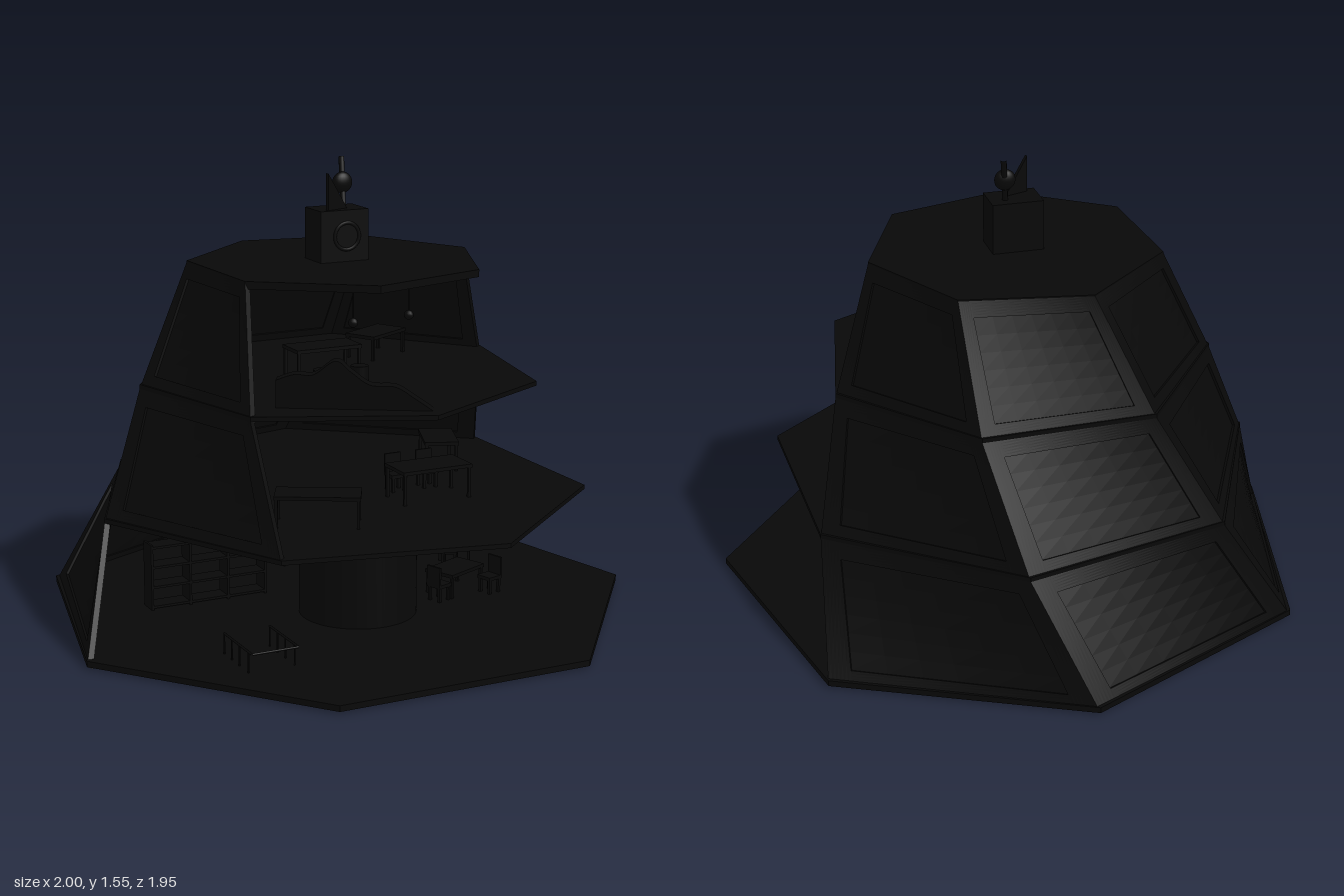
import * as THREE from 'three';

const SIDES = 7;
const SECTOR = (Math.PI * 2) / SIDES;
const TURN = THREE.MathUtils.degToRad(12);
const CENTER_Z = 0.05;
const STEP = 0.4;
const mat = new THREE.MeshStandardMaterial({ color: 0x080808, flatShading: true });
const smooth = new THREE.MeshStandardMaterial({ color: 0x080808 });

// Corner k of the heptagon at a level; each level shrinks and turns 12 degrees
function corner(k, level) {
  const r = 1.026 - 0.1745 * level;
  const a = SECTOR * (k + 0.5) - TURN * level;
  return new THREE.Vector3(r * Math.sin(a), level * STEP, CENTER_Z + r * Math.cos(a));
}

function add(parent, name, geometry, x = 0, y = 0, z = 0, material = mat) {
  const mesh = new THREE.Mesh(geometry, material);
  mesh.name = name;
  mesh.position.set(x, y, z);
  parent.add(mesh);
  return mesh;
}

const box = (parent, name, w, h, d, x, y, z) =>
  add(parent, name, new THREE.BoxGeometry(w, h, d), x, y, z);

// Thin rod between two points
function rod(parent, name, a, b, r) {
  const from = new THREE.Vector3(...a), to = new THREE.Vector3(...b);
  return add(parent, name, new THREE.TubeGeometry(new THREE.LineCurve3(from, to), 1, r, 8), 0, 0, 0, smooth);
}

// Heptagonal slab with its underside at y
function slab(parent, name, level, y, thickness) {
  const pts = [];
  for (let k = 0; k < SIDES; k++) {
    const p = corner(k, level);
    pts.push(new THREE.Vector2(p.x, -p.z));
  }
  const geo = new THREE.ExtrudeGeometry(new THREE.Shape(pts), { depth: thickness, bevelEnabled: false });
  geo.rotateX(-Math.PI / 2);
  add(parent, name, geo, 0, y, 0);
}

// Twisted wall panel between two levels: four frame bars around a recessed pane
function wallPanel(k, level) {
  const panel = new THREE.Group();
  panel.name = 'wallPanel';
  const [a, b] = [corner(k, level), corner(k + 1, level)];
  const [d, c] = [corner(k, level + 1), corner(k + 1, level + 1)];
  const normal = c.clone().sub(a).cross(d.clone().sub(b)).normalize();
  // name, u range, v range, depth range along the outward normal
  const parts = [
    ['frameBar', 0, 0.09, 0, 1, -0.02, 0], ['frameBar', 0.91, 1, 0, 1, -0.02, 0],
    ['frameBar', 0.09, 0.91, 0, 0.12, -0.02, 0], ['frameBar', 0.09, 0.91, 0.88, 1, -0.02, 0],
    ['pane', 0.09, 0.91, 0.12, 0.88, -0.015, -0.009],
  ];
  for (const [name, u0, u1, v0, v1, w0, w1] of parts) {
    const geo = new THREE.BoxGeometry(1, 1, 1, 6, 6, 1);
    const pos = geo.attributes.position;
    for (let i = 0; i < pos.count; i++) {
      const u = THREE.MathUtils.lerp(u0, u1, pos.getX(i) + 0.5);
      const v = THREE.MathUtils.lerp(v0, v1, pos.getY(i) + 0.5);
      const w = THREE.MathUtils.lerp(w0, w1, pos.getZ(i) + 0.5);
      const p = a.clone().lerp(b, u).lerp(d.clone().lerp(c, u), v).addScaledVector(normal, w);
      pos.setXYZ(i, p.x, p.y, p.z);
    }
    geo.computeVertexNormals();
    add(panel, name, geo);
  }
  return panel;
}

function table(parent, x, y, z, w, d, h, turn = 0) {
  const g = new THREE.Group();
  g.name = 'table';
  box(g, 'tableTop', w, 0.012, d, 0, h, 0);
  for (const sx of [-1, 1])
    for (const sz of [-1, 1])
      box(g, 'tableLeg', 0.01, h, 0.01, sx * (w / 2 - 0.008), h / 2, sz * (d / 2 - 0.008));
  g.position.set(x, y, z);
  g.rotation.y = turn;
  parent.add(g);
  return g;
}

function chair(parent, x, y, z, turn) {
  const g = table(parent, x, y, z, 0.06, 0.06, 0.055, turn);
  g.name = 'chair';
  box(g, 'chairBack', 0.06, 0.07, 0.008, 0, 0.09, -0.027);
}

function shelf(parent, x, y, z, w, h, turn = 0) {
  const g = new THREE.Group();
  g.name = 'shelf';
  for (let i = 0; i < 4; i++) box(g, 'shelfBoard', w, 0.008, 0.07, 0, 0.01 + (i * (h - 0.02)) / 3, 0);
  for (let i = 0; i < 4; i++) box(g, 'shelfUpright', 0.008, h, 0.07, (i / 3 - 0.5) * w, h / 2, 0);
  g.position.set(x, y, z);
  g.rotation.y = turn;
  parent.add(g);
}

export function createModel() {
  const model = new THREE.Group();
  model.name = 'terracedHouse';

  // Floors and roof
  slab(model, 'groundFloor', 0, 0, 0.02);
  slab(model, 'firstFloor', 1, 0.4, 0.015);
  slab(model, 'secondFloor', 2, 0.8, 0.015);
  slab(model, 'roof', 3, 1.18, 0.025);

  // Walls wrap the back and leave the front open
  [[2, 4], [2, 5], [2, 5]].forEach(([first, last], level) => {
    for (let k = first; k <= last; k++) model.add(wallPanel(k, level));
  });

  // Rounded core on the ground floor, flat at the back
  const core = new THREE.Shape().absarc(0, 0, 0.2, Math.PI - 0.38, Math.PI * 2 + 0.38, false);
  const coreGeo = new THREE.ExtrudeGeometry(core, { depth: 0.39, bevelEnabled: false, curveSegments: 32 });
  coreGeo.rotateX(-Math.PI / 2);
  add(model, 'core', coreGeo, 0, 0.015, 0.21, smooth);

  // Chimney with a dial on its front
  const top = new THREE.Group();
  top.name = 'chimney';
  model.add(top);
  box(top, 'chimneyBlock', 0.175, 0.175, 0.125, 0.002, 1.29, 0.042);
  add(top, 'dial', new THREE.TorusGeometry(0.045, 0.006, 8, 28), 0.01, 1.29, 0.105, smooth);

  // Spike, ball and rod on the chimney
  const spike = new THREE.Shape([[-0.06, 0], [0.03, 0], [-0.06, 0.125]].map(p => new THREE.Vector2(...p)));
  const spikeMesh = add(top, 'spike', new THREE.ExtrudeGeometry(spike, { depth: 0.012, bevelEnabled: false }), 0, 1.376, 0.06);
  spikeMesh.rotation.y = 0.35;
  const ball = add(top, 'ball', new THREE.SphereGeometry(0.036, 20, 14), 0.042, 1.455, 0.003, smooth);
  ball.scale.z = 0.6;
  rod(top, 'rod', [0.035, 1.37, 0.025], [0.055, 1.537, -0.03], 0.01);

  // Wavy hedge along the edge of the second floor
  const hedge = new THREE.Shape();
  hedge.moveTo(0, 0);
  hedge.lineTo(0, 0.09);
  hedge.splineThru([[0.06, 0.11], [0.12, 0.11], [0.19, 0.155], [0.24, 0.12], [0.3, 0.08], [0.38, 0.075],
    [0.44, 0.04], [0.5, 0]].map(p => new THREE.Vector2(...p)));
  const hedgeMesh = add(model, 'hedge',
    new THREE.ExtrudeGeometry(hedge, { depth: 0.05, bevelEnabled: false, curveSegments: 24 }), -0.37, 0.815, 0.37);
  hedgeMesh.rotation.y = -0.54;

  // Pendant lamps under the roof overhang
  for (const [x, z] of [[-0.12, 0.41], [0.1, 0.375]]) {
    rod(model, 'lampCord', [x, 1.18, z], [x, 1.07, z], 0.002);
    add(model, 'lampBulb', new THREE.SphereGeometry(0.016, 12, 8), x, 1.065, z, smooth);
  }

  // Ground floor railing
  for (const x of [-0.58, -0.42]) {
    rod(model, 'handrail', [x, 0.09, 0.41], [x, 0.09, 0.63], 0.004);
    for (const z of [0.41, 0.47, 0.53, 0.6]) rod(model, 'railPost', [x, 0.02, z], [x, 0.09, z], 0.003);
  }
  rod(model, 'handrail', [-0.58, 0.09, 0.63], [-0.42, 0.09, 0.63], 0.004);

  // Ground floor furniture
  shelf(model, -0.42, 0.02, -0.12, 0.42, 0.23);
  table(model, 0.4, 0.02, 0.17, 0.18, 0.12, 0.08, 0.4);
  chair(model, 0.3, 0.02, 0.24, 1.9);
  chair(model, 0.5, 0.02, 0.24, -1.3);
  table(model, 0.62, 0.02, -0.19, 0.22, 0.12, 0.1, 0.9);
  chair(model, 0.52, 0.02, -0.08, 2.5);

  // First floor furniture
  table(model, -0.25, 0.415, 0.42, 0.28, 0.12, 0.1, -0.5);
  table(model, 0.22, 0.415, 0.3, 0.26, 0.14, 0.11);
  chair(model, 0.16, 0.415, 0.18, 0);
  chair(model, 0.28, 0.415, 0.18, 0);
  shelf(model, -0.42, 0.415, -0.2, 0.28, 0.2, 0.9);
  table(model, 0.45, 0.415, -0.05, 0.2, 0.12, 0.1, 1.2);

  // Second floor furniture
  table(model, -0.06, 0.815, 0.06, 0.24, 0.12, 0.1);
  for (const x of [-0.12, 0.02])
    add(model, 'stool', new THREE.CylinderGeometry(0.03, 0.03, 0.05, 20), x, 0.84, 0.18, smooth);
  table(model, 0.25, 0.815, -0.15, 0.2, 0.12, 0.08, 0.5);

  return model;
}
